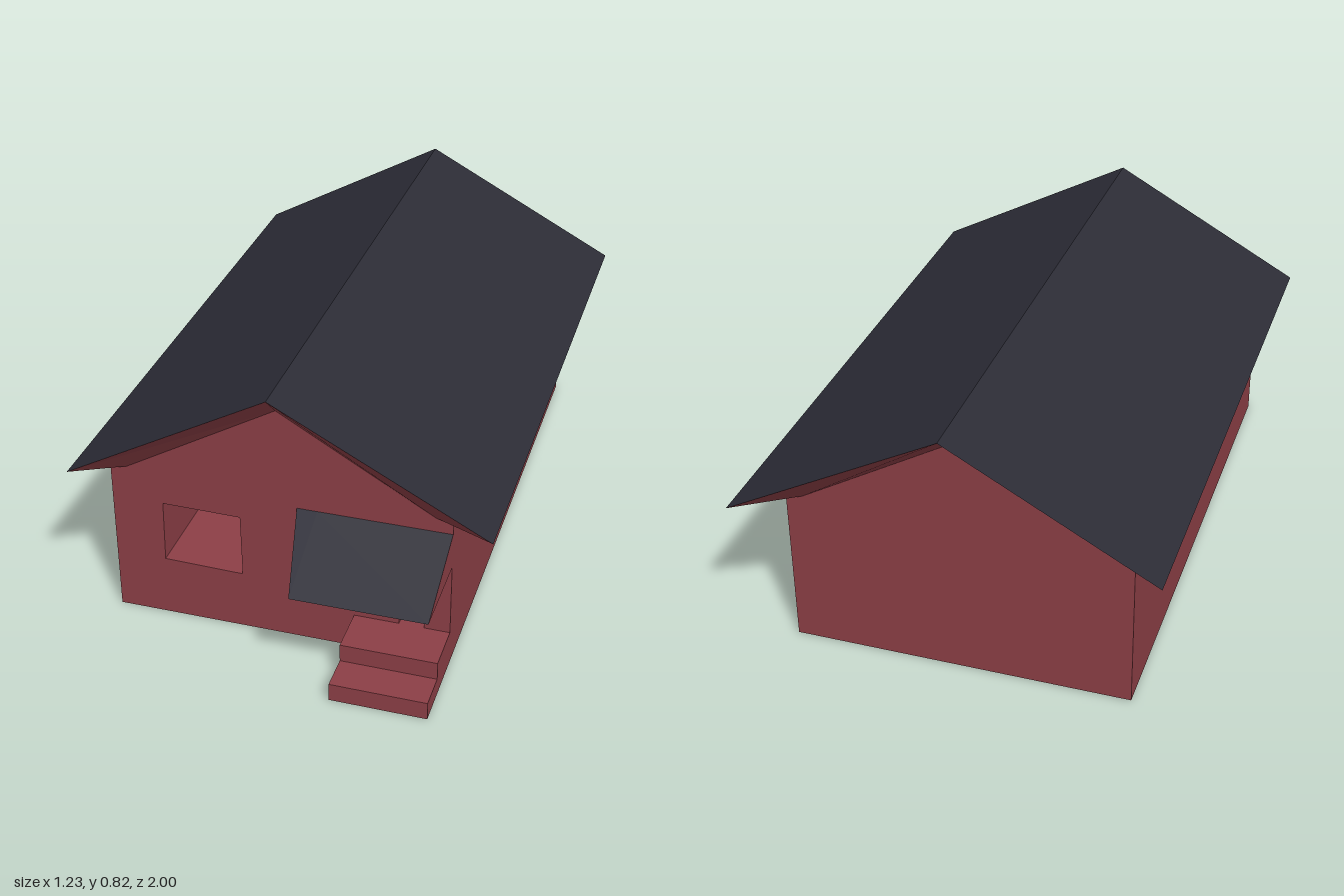
import * as THREE from 'three';

const red = new THREE.MeshStandardMaterial({ color: 0x8c3f46, flatShading: true, side: THREE.DoubleSide });
const slate = new THREE.MeshStandardMaterial({ color: 0x2c2c36, flatShading: true, side: THREE.DoubleSide });
const FRONT = 0.74, BACK = -0.885, LEFT = 0.485, RIGHT = -0.515, WALL = 0.49;

// Flat polygons (each a loop of [x, y, z] corners) fanned into triangles
function faces(name, material, ...polygons) {
  const pos = [];
  for (const p of polygons)
    for (let i = 1; i < p.length - 1; i++) pos.push(...p[0], ...p[i], ...p[i + 1]);
  const geo = new THREE.BufferGeometry();
  geo.setAttribute('position', new THREE.Float32BufferAttribute(pos, 3));
  geo.computeVertexNormals();
  const mesh = new THREE.Mesh(geo, material);
  mesh.name = name;
  return mesh;
}

// Slab between two depths, with openings cut through it
function wallSlab(name, z0, z1, holes) {
  const shape = new THREE.Shape([[RIGHT, 0], [LEFT, 0], [LEFT, WALL], [RIGHT, WALL]].map(p => new THREE.Vector2(...p)));
  for (const h of holes) shape.holes.push(new THREE.Path(h.map(p => new THREE.Vector2(...p))));
  const geo = new THREE.ExtrudeGeometry(shape, { depth: z1 - z0, bevelEnabled: false });
  const mesh = new THREE.Mesh(geo.translate(0, 0, z0), red);
  mesh.name = name;
  return mesh;
}

function box(name, x0, x1, y0, y1, z0, z1) {
  const mesh = new THREE.Mesh(new THREE.BoxGeometry(x1 - x0, y1 - y0, z1 - z0), red);
  mesh.position.set((x0 + x1) / 2, (y0 + y1) / 2, (z0 + z1) / 2);
  mesh.name = name;
  return mesh;
}

function createWalls() {
  const g = new THREE.Group();
  g.name = 'walls';
  const windowHole = [[-0.365, 0.19], [-0.362, 0.383], [-0.13, 0.38], [-0.128, 0.185]];
  const doorHole = [[0.337, 0.11], [0.337, 0.263], [0.41, 0.263], [0.41, 0.11]];
  g.add(wallSlab('frontWall', FRONT - 0.03, FRONT, [windowHole, doorHole]));
  g.add(wallSlab('windowRecess', FRONT - 0.35, FRONT - 0.03, [windowHole]));
  g.add(box('mainBlock', RIGHT, LEFT, 0, WALL, BACK, FRONT - 0.35));
  return g;
}

function createRoof() {
  const g = new THREE.Group();
  g.name = 'roof';
  const apexX = -0.015, zf = 0.815, zb = -1;
  const outer = z => [[-0.615, WALL, z], [apexX, 0.82, z], [0.61, WALL, z]];
  const inner = z => [[-0.465, WALL, z], [apexX, 0.75, z], [0.435, WALL, z]];
  const [fl, ft, fr] = outer(zf), [bl, bt, br] = outer(zb);
  g.add(faces('roofSlopes', slate, [fl, ft, bt, bl], [fr, br, bt, ft]));
  // Each end slopes inward from the roof edge to a set-back gable
  const fi = inner(FRONT), bi = inner(BACK);
  g.add(faces('frontGable', red, [fi[0], fi[2], fi[1]],
    [fl, fi[0], fi[1], ft], [ft, fi[1], fi[2], fr]));
  g.add(faces('backGable', red, [bi[0], bi[1], bi[2]],
    [bl, bt, bi[1], bi[0]], [bt, br, bi[2], bi[1]]));
  // Undersides of the eaves
  g.add(faces('eaves', red, [fl, bl, bi[0], fi[0]], [fr, fi[2], bi[2], br]));
  return g;
}

function createAwning() {
  const g = new THREE.Group();
  g.name = 'awning';
  const top = 0.445, low = 0.335, tip = 1;
  const cornerTop = [0.04, top, FRONT], cornerLow = [0.04, low, FRONT];
  const hip = [0.1, top, FRONT], front = [0.1, low, tip];
  const endTop = [LEFT, top, FRONT], endLow = [LEFT, low, FRONT], endFront = [LEFT, low, tip];
  g.add(faces('awningSlope', slate, [hip, front, endFront, endTop], [cornerTop, front, hip]));
  g.add(faces('awningUnderside', red, [cornerLow, endLow, endFront, front],
    [endTop, endFront, endLow], [cornerLow, front, hip]));
  return g;
}

function createSteps() {
  const g = new THREE.Group();
  g.name = 'steps';
  g.add(box('lowerStep', 0.205, LEFT, 0, 0.055, FRONT, 0.985));
  g.add(box('upperStep', 0.205, LEFT, 0.055, 0.11, FRONT, 0.88));
  return g;
}

export function createModel() {
  const house = new THREE.Group();
  house.name = 'house';
  house.add(createWalls(), createRoof(), createAwning(), createSteps());
  return house;
}
